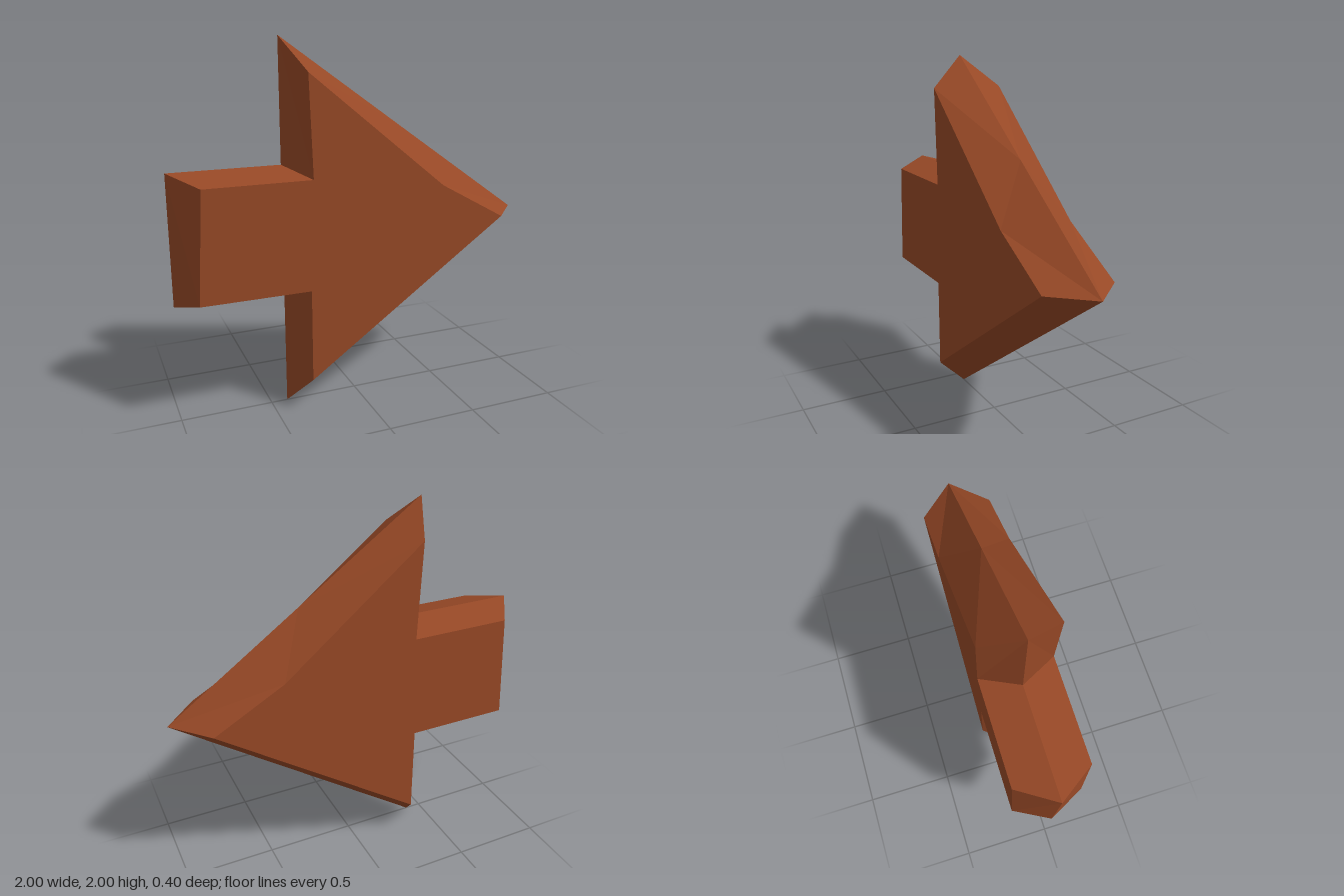
import * as THREE from 'three';

// Matching outlines [x, y], counter-clockwise seen from the front:
// the widest outline at z = 0, and the inset one around the flat faces
const RIM = [[-0.41, 2], [-0.41, 1.35], [-1, 1.35], [-1, 0.65], [-0.41, 0.65], [-0.41, 0], [1, 1], [0.28, 1.51]];
const FACE = [[-0.32, 1.83], [-0.3, 1.3], [-0.865, 1.3], [-0.9, 0.71], [-0.32, 0.71], [-0.32, 0.2], [0.82, 1], [0.44, 1.21]];
const HALF_DEPTH = 0.2;

// Builds a flat-shaded geometry from triangles, flipped for the back half
function fromTriangles(triangles, side) {
  const positions = triangles.flatMap(([a, b, c]) => (side > 0 ? [a, b, c] : [a, c, b]).flat());
  const geometry = new THREE.BufferGeometry();
  geometry.setAttribute('position', new THREE.Float32BufferAttribute(positions, 3));
  geometry.computeVertexNormals();
  return geometry;
}

// Flat arrow-shaped face
function faceGeometry(side) {
  const outline = FACE.map(([x, y]) => new THREE.Vector2(x, y));
  const at = (i) => [...FACE[i], side * HALF_DEPTH];
  const triangles = THREE.ShapeUtils.triangulateShape(outline, []).map((t) => t.map(at));
  return fromTriangles(triangles, side);
}

// Sloping band from the middle ridge to the flat face
function bevelGeometry(side) {
  const triangles = [];
  RIM.forEach((point, i) => {
    const j = (i + 1) % RIM.length;
    const a = [...point, 0], b = [...RIM[j], 0];
    const c = [...FACE[j], side * HALF_DEPTH], d = [...FACE[i], side * HALF_DEPTH];
    triangles.push([a, b, c], [a, c, d]);
  });
  return fromTriangles(triangles, side);
}

export function createModel() {
  const wood = new THREE.MeshStandardMaterial({ color: 0x964826, flatShading: true });
  wood.name = 'brown wood';

  const arrow = new THREE.Group();
  arrow.name = 'arrow';
  for (const [label, side] of [['front', 1], ['back', -1]]) {
    const face = new THREE.Mesh(faceGeometry(side), wood);
    face.name = `${label}Face`;
    const bevel = new THREE.Mesh(bevelGeometry(side), wood);
    bevel.name = `${label}Bevel`;
    arrow.add(face, bevel);
  }
  return arrow;
}
